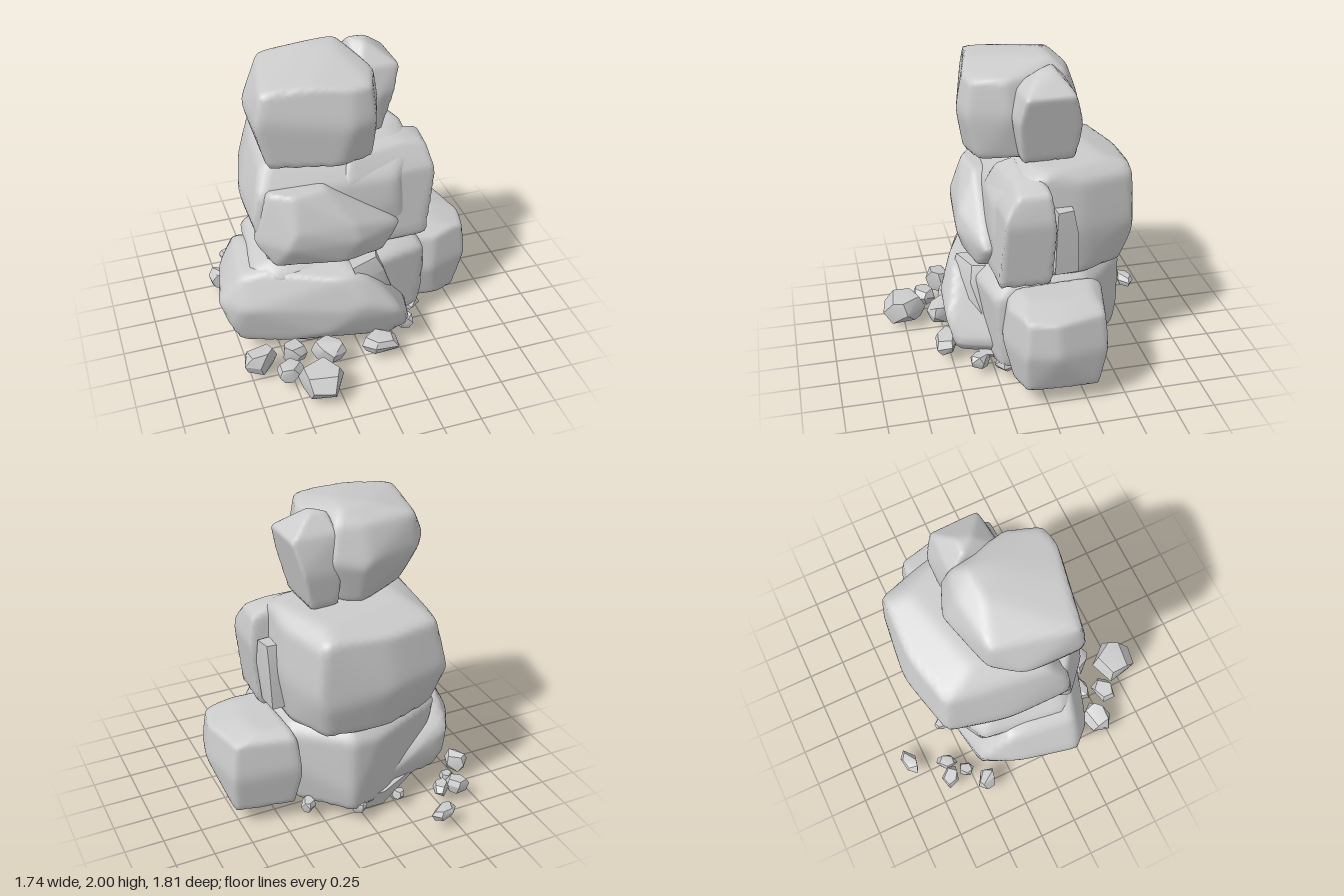
import * as THREE from 'three';
import { ConvexGeometry } from 'three/addons/geometries/ConvexGeometry.js';
import { mergeVertices, toCreasedNormals } from 'three/addons/utils/BufferGeometryUtils.js';

const material = new THREE.MeshStandardMaterial({ color: 0xcccccc });

// Corner points from rings of the form [y, x, z, x, z, ...]
function corners(rings) {
  const pts = [];
  for (const [y, ...xz] of rings)
    for (let i = 0; i < xz.length; i += 2) pts.push(new THREE.Vector3(xz[i], y, xz[i + 1]));
  return pts;
}

// Face planes of the convex hull, nearly parallel ones merged
function hullPlanes(pts, centre) {
  const pos = new ConvexGeometry(pts).getAttribute('position');
  const planes = [];
  const v = [0, 1, 2].map(() => new THREE.Vector3());
  for (let i = 0; i < pos.count; i += 3) {
    v.forEach((p, k) => p.fromBufferAttribute(pos, i + k).sub(centre));
    const n = v[1].clone().sub(v[0]).cross(v[2].clone().sub(v[0]));
    if (n.length() < 1e-6) continue;
    n.normalize();
    const d = n.dot(v[0]);
    const same = planes.find((p) => p.n.dot(n) > 0.99);
    if (same) same.d = Math.max(same.d, d);
    else planes.push({ n, d: Math.max(d, 0.01) });
  }
  return planes;
}

// Boulder: a sphere pushed out to the hull planes, blended so edges are worn round
function boulder(name, rings, sharpness = 50) {
  const pts = corners(rings);
  const centre = new THREE.Vector3();
  pts.forEach((p) => centre.addScaledVector(p, 1 / pts.length));
  const planes = hullPlanes(pts, centre);
  let geo = new THREE.IcosahedronGeometry(1, 16);
  geo.deleteAttribute('normal');
  geo.deleteAttribute('uv');
  geo = mergeVertices(geo, 1e-4);
  const pos = geo.getAttribute('position');
  const dir = new THREE.Vector3();
  for (let i = 0; i < pos.count; i++) {
    dir.fromBufferAttribute(pos, i).normalize();
    let sum = 0;
    for (const { n, d } of planes) sum += Math.max(0, n.dot(dir) / d) ** sharpness;
    dir.multiplyScalar(sum ** (-1 / sharpness));
    pos.setXYZ(i, dir.x, dir.y, dir.z);
  }
  // Bring the worn shape back to its full extent
  geo.computeBoundingBox();
  const want = new THREE.Box3().setFromPoints(pts);
  const size = want.getSize(new THREE.Vector3()).divide(geo.boundingBox.getSize(new THREE.Vector3()));
  geo.scale(size.x, size.y, size.z);
  geo.computeBoundingBox();
  const shift = want.min.clone().sub(geo.boundingBox.min);
  geo.translate(shift.x, shift.y, shift.z);
  geo.computeVertexNormals();
  const mesh = new THREE.Mesh(geo, material);
  mesh.name = name;
  return mesh;
}

// Sharp-edged slab straight from the hull
function slab(name, rings) {
  const mesh = new THREE.Mesh(toCreasedNormals(new ConvexGeometry(corners(rings)), 0.5), material);
  mesh.name = name;
  return mesh;
}

let seed = 7;
const rand = () => (seed = (seed * 16807) % 2147483647) / 2147483647;

// Rubble: a small chipped block, narrower above and below than round its waist
function pebble(x, y, z, w, h, d, turn) {
  const pts = [];
  for (const [level, spread] of [[-0.5, 0.75], [0, 1], [0.45, 0.75]])
    for (let k = 0; k < 5; k++) {
      const a = (k + 0.6 * rand()) * Math.PI * 0.4;
      pts.push(new THREE.Vector3(
        Math.cos(a) * w * 0.53 * spread, h * (level + 0.2 * (rand() - 0.5)), Math.sin(a) * d * 0.53 * spread));
    }
  const mesh = new THREE.Mesh(toCreasedNormals(new ConvexGeometry(pts), 0.5), material);
  mesh.position.set(x, y, z);
  mesh.rotation.y = turn;
  mesh.name = 'pebble';
  return mesh;
}

export function createModel() {
  const model = new THREE.Group();
  model.name = 'rockStack';

  // Top tier
  model.add(
    boulder('topBoulder', [
      [1.41, -0.53, 0.24, -0.05, 0.32, 0.1, 0.27, 0.14, 0, 0, -0.24, -0.1, -0.29, -0.45, -0.1],
      [1.7, -0.6, 0.26, -0.06, 0.39, 0.1, 0.35, 0.19, 0.1, 0.1, -0.3, -0.1, -0.38, -0.47, -0.28, -0.6, -0.1],
      [1.92, -0.56, 0.25, -0.05, 0.35, 0.08, 0.31, 0.14, 0.1, 0.06, -0.26, -0.1, -0.3, -0.45, -0.26],
      [2.0, -0.18, -0.16, 0.0, -0.18, -0.06, -0.04]]),
    boulder('topSideRock', [
      [1.42, 0.06, -0.25, 0.24, -0.28, 0.25, 0.04, 0.06, 0.04],
      [1.7, 0.04, -0.29, 0.31, -0.31, 0.32, 0.07, 0.22, 0.1, 0.04, 0.06],
      [1.87, 0.06, -0.27, 0.34, -0.26, 0.35, 0.04, 0.1, 0.06],
      [1.99, 0.1, -0.16, 0.2, -0.16, 0.17, -0.08]]));

  // Middle tier
  model.add(
    boulder('middleBoulder', [
      [0.7, -0.54, 0.24, 0.4, 0.22, 0.4, -0.32, 0.27, -0.58, -0.12, -0.61, -0.48, -0.48],
      [1.0, -0.63, 0.22, 0.3, 0.26, 0.45, 0.15, 0.45, -0.3, 0.35, -0.63, -0.1, -0.69, -0.53, -0.59, -0.63, -0.2],
      [1.2, -0.59, 0.2, 0.25, 0.24],
      [1.34, -0.53, 0.1, -0.46, -0.54, -0.1, -0.63, 0.32, -0.62, 0.42, -0.3, 0.4, 0.1],
      [1.42, -0.3, 0.0, -0.34, -0.32, 0.3, -0.35, 0.4, -0.1, 0.3, 0.0]], 60),
    boulder('middleFrontRock', [
      [0.71, -0.52, 0.28, -0.1, 0.37, 0.16, 0.32, 0.18, 0, -0.5, 0],
      [0.88, -0.63, 0.22, -0.45, 0.38, -0.02, 0.42, 0.29, 0.29, 0.2, 0],
      [1.0, -0.62, 0.2, -0.4, 0.39, -0.05, 0.4],
      [1.22, -0.54, 0.22, -0.4, 0.31, -0.19, 0.27, -0.19, 0, -0.5, 0]]),
    boulder('middleRightBlock', [
      [0.71, -0.1, 0.25, 0.5, 0.24, 0.5, -0.08, -0.1, -0.08],
      [1.1, -0.1, 0.27, 0.55, 0.25, 0.56, -0.1, -0.1, -0.1],
      [1.22, -0.02, 0.26, 0.55, 0.24, 0.56, -0.08, -0.02, -0.08],
      [1.33, 0, 0.2, 0.52, 0.16, 0.54, -0.07, 0, -0.08],
      [1.38, 0.05, 0.1, 0.32, 0.1, 0.42, -0.02, 0.05, -0.06]], 70),
    slab('middleSideSlab', [
      [0.77, 0.35, -0.1, 0.5, -0.1, 0.49, -0.25, 0.35, -0.25],
      [1.05, 0.35, -0.1, 0.53, -0.1, 0.5, -0.24, 0.35, -0.24],
      [1.2, 0.35, -0.1, 0.52, -0.11, 0.5, -0.21, 0.35, -0.22]]));

  // Bottom tier
  model.add(
    boulder('bottomBoulder', [
      [0.1, -0.5, 0.25, 0.25, 0.27, 0.48, 0.22, 0.46, -0.22, 0.1, -0.61, -0.12, -0.54, -0.45, -0.3],
      [0.4, -0.6, 0.25, 0.3, 0.27, 0.49, 0.24, 0.48, -0.3, 0.12, -0.63, -0.02, -0.62, -0.52, -0.38],
      [0.64, -0.67, 0.2, -0.5, 0.34, 0.2, 0.32, 0.48, 0.24, 0.45, -0.32, 0.12, -0.63, -0.02, -0.62, -0.57, -0.36],
      [0.72, -0.5, 0.24, 0.2, 0.22, 0.4, 0.15, 0.36, -0.32, 0.08, -0.56, -0.5, -0.3]], 70),
    boulder('bottomFrontRock', [
      [0.11, -0.72, 0.22, -0.4, 0.36, 0.2, 0.48, 0.29, 0.2, -0.15, -0.45, -0.55, -0.38],
      [0.22, -0.8, 0.26, -0.24, 0.48, 0.3, 0.53, 0.36, 0.27, -0.15, -0.5, -0.63, -0.42],
      [0.42, -0.87, 0.2, -0.74, 0.34, -0.25, 0.5, 0.2, 0.54, 0.22, 0, -0.78, -0.2, -0.66, -0.42],
      [0.52, -0.05, 0.54, 0.08, 0.52],
      [0.63, -0.72, 0.24, -0.16, 0.48, 0.0, 0.48, 0, 0, -0.67, -0.2],
      [0.68, -0.5, 0.15, -0.1, 0.25]], 80),
    slab('bottomFrontSlab', [
      [0.34, 0.18, 0.4, 0.26, 0.3, 0.1, 0.2],
      [0.58, -0.02, 0.45, 0.17, 0.37, 0.18, 0.2],
      [0.68, -0.06, 0.42, 0.12, 0.35, 0.16, 0.2, -0.05, 0.2]]),
    boulder('bottomRightBoulder', [
      [0.12, 0.4, 0.14, 0.6, 0.18, 0.76, 0.12, 0.78, -0.3, 0.42, -0.38],
      [0.4, 0.33, 0.2, 0.56, 0.24, 0.82, 0.15, 0.87, -0.04, 0.8, -0.36, 0.38, -0.44],
      [0.63, 0.42, 0.18, 0.56, 0.2, 0.8, 0.13, 0.84, -0.04, 0.77, -0.34, 0.4, -0.42],
      [0.68, 0.45, 0.12, 0.6, 0.1, 0.62, -0.3, 0.42, -0.34]]),
    slab('footing', [
      [0, -0.4, 0.05, 0.1, 0.08, 0.2, -0.25, -0.05, -0.4],
      [0.03, -0.6, 0.15, -0.3, 0.28, 0.24, 0.22, 0.32, -0.15, -0.02, -0.53, -0.15, -0.53, -0.48, -0.3],
      [0.14, -0.62, 0.2, -0.1, 0.4, 0.34, 0.34, 0.45, -0.2, 0.1, -0.56, -0.15, -0.55, -0.54, -0.36]]));

  // Rubble round the foot: x, y, z, width, height, depth, turn
  const rubble = new THREE.Group();
  rubble.name = 'rubble';
  [[-0.37, 0.13, 0.75, 0.28, 0.16, 0.29, 0.6], [-0.53, 0.11, 0.59, 0.18, 0.1, 0.15, 0.4],
    [-0.69, 0.13, 0.45, 0.22, 0.15, 0.18, 0.3], [-0.46, 0.12, 0.44, 0.18, 0.12, 0.12, 0],
    [-0.25, 0.14, 0.52, 0.22, 0.13, 0.16, -0.3], [0.1, 0.12, 0.53, 0.26, 0.11, 0.15, -0.3],
    [0.33, 0.1, 0.35, 0.12, 0.08, 0.14, 0.5], [-0.41, 0.115, -0.86, 0.18, 0.07, 0.1, 0.2],
    [-0.63, 0.12, -0.65, 0.16, 0.09, 0.11, -0.8], [-0.52, 0.11, -0.63, 0.1, 0.08, 0.14, -0.5],
    [-0.75, 0.13, -0.43, 0.15, 0.12, 0.13, -0.7], [-0.62, 0.1, -0.53, 0.11, 0.07, 0.09, 0.9],
    [-0.25, 0.1, -0.56, 0.1, 0.06, 0.07, 0.3], [0.05, 0.11, -0.58, 0.1, 0.07, 0.08, -0.4],
    [0.33, 0.11, -0.42, 0.12, 0.07, 0.09, 0.7], [0.42, 0.11, 0.2, 0.14, 0.07, 0.13, 0.2]]
    .forEach((p) => rubble.add(pebble(...p)));
  model.add(rubble);
  return model;
}
